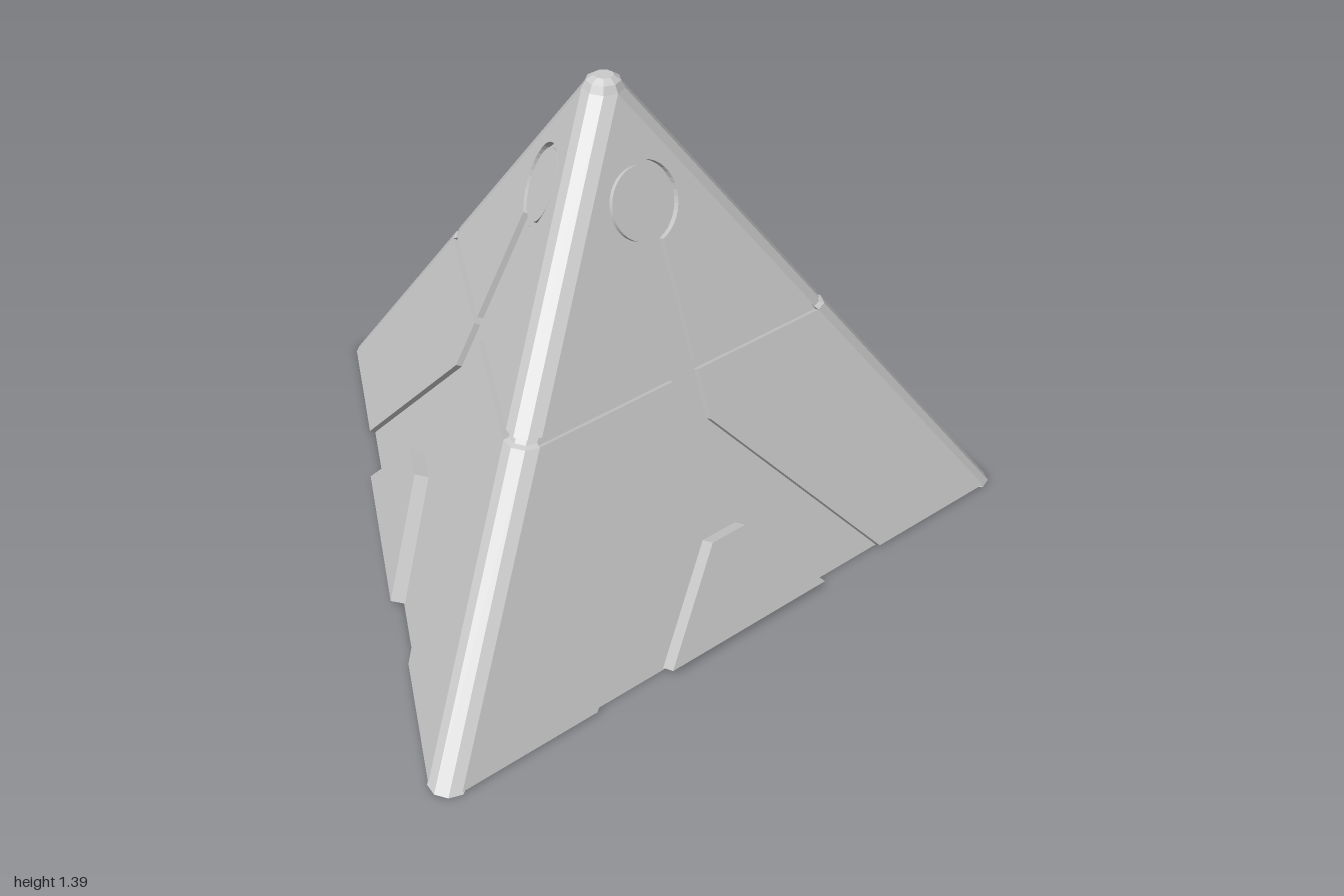
import * as THREE from 'three';

const BASE = 0.6, HEIGHT = 1.5;   // apothem of the base and height of the sharp pyramid
const R = 0.055;                  // rounding of the edges
const INSET = 0.018;              // depth of the channels in the faces
const TILT = Math.atan(BASE / HEIGHT);
const DEPTH = INSET * Math.cos(TILT);
const CENTRE_Z = -0.265;
const DEG = Math.PI / 180;

const apothem = y => BASE * (1 - y / HEIGHT);
const TIP = HEIGHT * (1 - R / BASE);              // height where the three faces run out
const halfWidth = y => Math.max(0, (apothem(y) - R) * Math.sqrt(3));
const stemHalf = y => 0.046 - (y - 0.54) * 0.028;
// distance along a tilted face for a height on a surface lifted by depth
const along = (y, depth = DEPTH) => (y - depth * Math.sin(TILT)) / Math.cos(TILT);

// Horizontal section: three rounded corners joined by recessed flats
function section(y, radius, inset) {
  const reach = Math.max(0, 2 * (apothem(y) - R));
  const points = [];
  for (let k = 0; k < 3; k++) {
    const phi = k * 120;
    const cx = Math.sin(phi * DEG) * reach, cz = Math.cos(phi * DEG) * reach;
    const add = (deg, r) => points.push(new THREE.Vector3(
      cx + Math.sin((phi + deg) * DEG) * r, y, cz + Math.cos((phi + deg) * DEG) * r));
    add(-60, R - inset);
    for (const deg of [-60, -20, 20, 60]) add(deg, Math.min(radius, deg * deg === 3600 && inset ? radius : R));
    add(60, R - inset);
  }
  return points;
}

function loft(rings) {
  const pos = [];
  const tri = (a, b, c) => { for (const p of [a, b, c]) pos.push(p.x, p.y, p.z); };
  const n = rings[0].length;
  for (let j = 0; j < n; j++) {
    const k = (j + 1) % n;
    for (let i = 0; i < rings.length - 1; i++) {
      const lo = rings[i], hi = rings[i + 1];
      tri(lo[j], lo[k], hi[k]);
      tri(lo[j], hi[k], hi[j]);
    }
    const first = rings[0], last = rings[rings.length - 1];
    tri(new THREE.Vector3(0, first[0].y, 0), first[k], first[j]);
    tri(new THREE.Vector3(0, last[0].y, 0), last[j], last[k]);
  }
  const geo = new THREE.BufferGeometry();
  geo.setAttribute('position', new THREE.Float32BufferAttribute(pos, 3));
  geo.computeVertexNormals();
  return geo;
}

export function createModel() {
  const model = new THREE.Group();
  model.name = 'pyramid';
  const material = new THREE.MeshStandardMaterial({ color: 0xcccccc, flatShading: true });

  // Core with rounded edges, a waist groove and a blunt tip
  const G = 0.012;
  const core = new THREE.Mesh(loft([
    section(0, R, INSET), section(0.67, R, INSET),
    section(0.674, R - G, INSET), section(0.686, R - G, INSET),
    section(0.69, R, INSET), section(TIP, R, INSET),
    section(TIP, R, 0),
    section(1.383, 0.045, R - 0.045), section(1.395, 0.026, R - 0.026),
  ]), material);
  core.name = 'core';
  core.position.z = CENTRE_Z;
  model.add(core);

  // Outlines of the face panels, given as (offset, height)
  const outline = (points, depth) =>
    new THREE.Shape(points.map(([x, y]) => new THREE.Vector2(x, along(y, depth))));
  const extrude = (shape, depth) =>
    new THREE.ExtrudeGeometry(shape, { depth, bevelEnabled: false, curveSegments: 32 });

  // Upper panel, cut by a keyhole
  const cy = along(1.1), cr = 0.11;
  const upper = new THREE.Shape();
  upper.moveTo(-halfWidth(0.69), along(0.69));
  upper.lineTo(-stemHalf(0.69), along(0.69));
  const open = Math.asin(stemHalf(1.0) / cr);
  const steps = 36;
  for (let i = 0; i <= steps; i++) {
    const a = -Math.PI / 2 - open - (i / steps) * (2 * Math.PI - 2 * open);
    upper.lineTo(Math.cos(a) * cr, cy + Math.sin(a) * cr);
  }
  upper.lineTo(stemHalf(0.69), along(0.69));
  upper.lineTo(halfWidth(0.69), along(0.69));
  upper.lineTo(0, along(TIP));
  const upperGeo = extrude(upper, DEPTH);

  // Lower panels on either side of the spreading channel
  const lowerGeos = [-1, 1].map(s => extrude(outline([
    [s * halfWidth(0), 0.0066], [s * 0.515, 0.0066], [s * stemHalf(0.54), 0.54],
    [s * stemHalf(0.67), 0.67], [s * halfWidth(0.67), 0.67],
  ], DEPTH), DEPTH));

  // Raised plate at the foot, and the disc inside the keyhole
  const plateDepth = DEPTH + 0.024;
  const plateGeo = extrude(outline([
    [-0.277, 0.02], [0.277, 0.02], [0.058, 0.268], [-0.058, 0.268],
  ], plateDepth), plateDepth);
  const disc = new THREE.Shape();
  disc.absarc(0, cy, 0.097, 0, Math.PI * 2);
  const discGeo = extrude(disc, DEPTH * 0.75);

  for (const deg of [60, 180, 300]) {
    const turn = new THREE.Group();
    turn.name = 'side';
    turn.position.z = CENTRE_Z;
    turn.rotation.y = deg * DEG;
    const face = new THREE.Group();
    face.name = 'face';
    face.position.z = BASE - INSET;
    face.rotation.x = -TILT;
    const parts = [
      ['upperPanel', upperGeo], ['lowerPanelRight', lowerGeos[0]],
      ['lowerPanelLeft', lowerGeos[1]], ['footPlate', plateGeo], ['disc', discGeo],
    ];
    for (const [name, geo] of parts) {
      const mesh = new THREE.Mesh(geo, material);
      mesh.name = name;
      face.add(mesh);
    }
    turn.add(face);
    model.add(turn);
  }
  return model;
}
